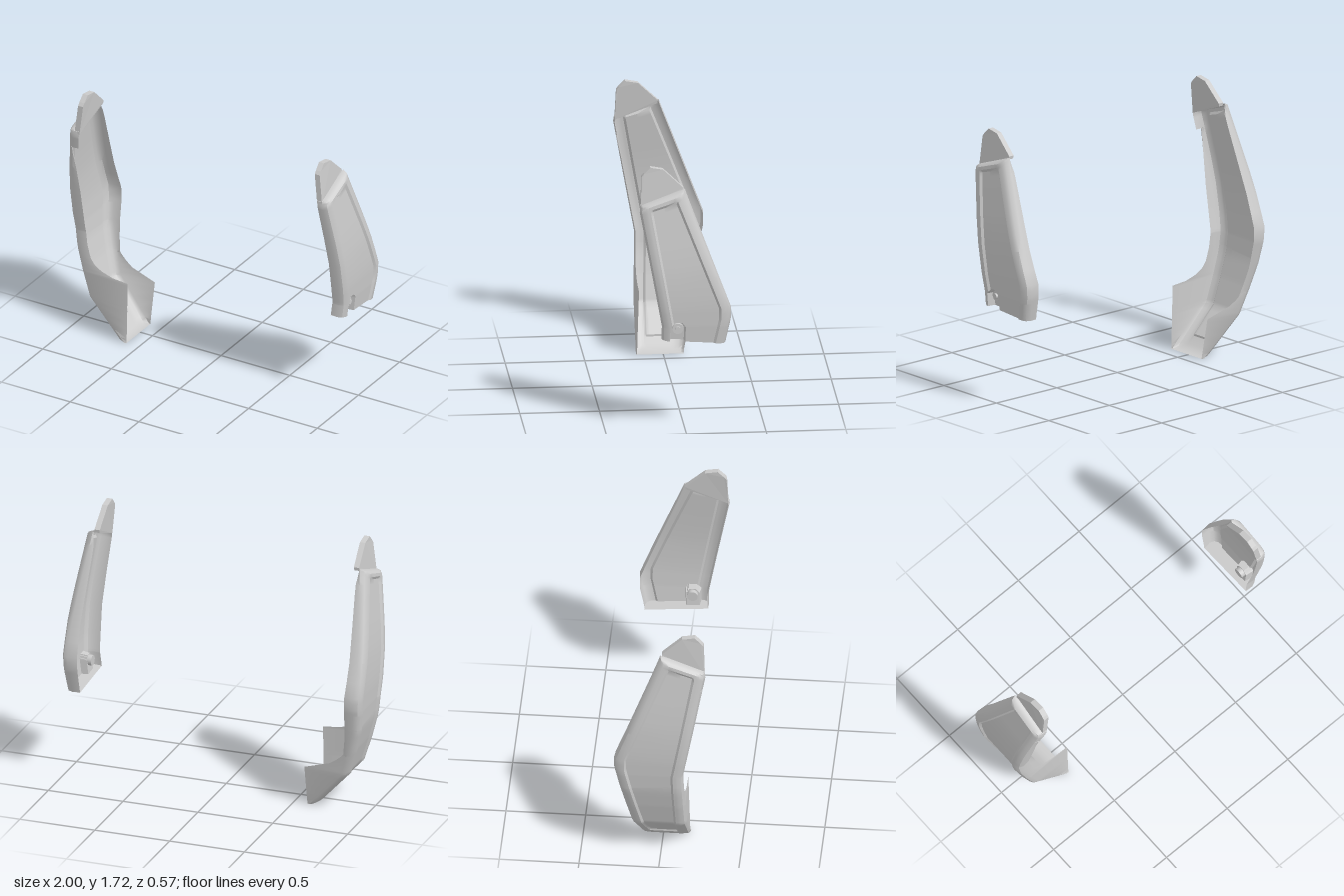
import * as THREE from 'three';
import { toCreasedNormals } from 'three/addons/utils/BufferGeometryUtils.js';

const material = new THREE.MeshStandardMaterial({ color: 0xcccccc, side: THREE.DoubleSide });

// Piecewise linear curve through [input, output] pairs
const curve = (keys) => (v) => {
  if (v <= keys[0][0]) return keys[0][1];
  for (let i = 1; i < keys.length; i++) {
    const [a, p] = keys[i - 1], [b, q] = keys[i];
    if (v <= b) return p + (q - p) * (v - a) / (b - a);
  }
  return keys[keys.length - 1][1];
};

// Side outline, outer bulge and inner rims, all by height
const frontZ = curve([[0, 0.17], [0.6, 0.152], [0.7, 0.15], [1.44, 0.285], [1.48, 0.28]]);
const backZ = curve([[0, -0.13], [0.58, -0.25], [0.74, -0.283], [0.82, -0.283], [1.55, -0.01], [1.58, 0]]);
const backY = curve([[0, 0], [0.27, 0.27], [0.61, 0.58], [1.48, 1.58]]);
const outerX = curve([[0, 0.65], [0.25, 0.88], [0.42, 0.935], [0.58, 0.978], [0.7, 0.992], [0.82, 1],
  [1, 1], [1.15, 0.988], [1.3, 0.97], [1.58, 0.935]]);
const rimLow = [[0.415, 0.59], [0.425, 0.7], [0.45, 0.78], [0.48, 0.83], [0.52, 0.86], [0.6, 0.885],
  [0.72, 0.9], [1, 0.905]];
const frontRim = curve([...rimLow, [1.2, 0.89], [1.48, 0.865]]);
const frontRimStepped = curve([...rimLow, [1.35, 0.925], [1.351, 0.882], [1.48, 0.865]]);
const backRim = curve([[0.27, 0.59], [0.33, 0.78], [0.4, 0.86], [0.5, 0.875], [0.6, 0.885], [1, 0.9],
  [1.2, 0.89], [1.48, 0.875], [1.58, 0.89]]);

// Rounded edge depth by distance from the outline, then the shallow inset
const edgeDepth = curve([[0, 0.045], [0.012, 0.016], [0.035, 0.003], [0.064, 0]]);
const insetBlend = curve([[0.064, 0], [0.078, 1]]);
const insetRows = curve([[0.075, 0], [0.088, 1], [1.425, 1], [1.44, 0]]);
const endDrop = curve([[0, 0.03], [0.012, 0.01], [0.03, 0], [1.46, 0], [1.472, 0.012], [1.48, 0.035]]);

const clip = { y: 0.68, z: 0.05, radius: 0.045 };

// Open shell lofted from cross-sections running from front rim to back rim
function shellGeometry(side, bottom, rim, hasClip) {
  let heights = [0, 0.012, 0.03, 0.075, 0.088, 0.15, 0.22, 0.25, 0.27, 0.3, 0.33, 0.365, 0.4, 0.415,
    0.425, 0.45, 0.48, 0.52, 0.56];
  for (let i = 0; i < 18; i++) heights.push(0.61 + i * 0.007);
  heights.push(0.75, 0.785, 0.82, 0.9, 1, 1.08, 1.15, 1.2, 1.3, 1.35, 1.351, 1.4, 1.425, 1.44, 1.46, 1.472, 1.48);
  heights = heights.filter((y) => y >= bottom);
  const fromFront = [0, 0.012, 0.035];
  for (let i = 0; i < 16; i++) fromFront.push(0.05 + i * 0.007);
  const fromBack = [0.078, 0.064, 0.035, 0.012, 0];
  const positions = [], index = [];
  let rows = 0, columns = 0;

  const addRow = (yf, cap) => {
    const yb = backY(yf), zf = frontZ(yf), zb = backZ(yb);
    const rimF = rim(yf), rimB = backRim(yb);
    const points = [];
    const add = (z, d) => {
      const t = (zf - z) / (zf - zb), y = yf + (yb - yf) * t;
      const rimX = rimF + (rimB - rimF) * t;
      let depth = Math.max(edgeDepth(d) + 0.012 * insetBlend(d) * insetRows(yf), endDrop(yf));
      // Slot with a round top, open at the lower edge
      if (hasClip && Math.hypot(z - clip.z, Math.max(0, y - clip.y)) < clip.radius) depth = 0.055;
      points.push([cap ? rimX : Math.max(rimX, outerX(y) - depth), y, z]);
    };
    points.push([rimF, yf, zf - 0.006]);
    fromFront.forEach((d) => add(zf - d, d));
    fromBack.forEach((d) => add(zb + d, d));
    points.push([rimB, yb, zb + 0.006]);
    points.forEach(([x, y, z]) => positions.push(side * x, y, z));
    columns = points.length;
    rows++;
  };

  addRow(heights[0], true);
  heights.forEach((y) => addRow(y, false));
  addRow(heights[heights.length - 1], true);

  for (let r = 0; r < rows - 1; r++) {
    for (let c = 0; c < columns - 1; c++) {
      const a = r * columns + c, b = a + 1, d = a + columns, e = d + 1;
      if (side > 0) index.push(a, b, e, a, e, d);
      else index.push(a, e, b, a, d, e);
    }
  }
  const geometry = new THREE.BufferGeometry();
  geometry.setAttribute('position', new THREE.Float32BufferAttribute(positions, 3));
  geometry.setIndex(index);
  return toCreasedNormals(geometry, 0.65);
}

// Flat tongue rising from the top edge, leaning inward
function tabGeometry(side) {
  const shape = new THREE.Shape([[0.278, 1.46], [0.27, 1.66], [0.255, 1.68], [0.215, 1.72], [0.135, 1.705],
    [0.01, 1.585], [0.012, 1.565]].map(([z, y]) => new THREE.Vector2(z, y)));
  const geometry = new THREE.ExtrudeGeometry(shape, { depth: 0.036, bevelEnabled: false });
  const lean = curve([[1.46, 0.866], [1.5, 0.863], [1.6, 0.846], [1.72, 0.842]]);
  const p = geometry.attributes.position;
  for (let i = 0; i < p.count; i++) {
    const z = p.getX(i), y = p.getY(i);
    p.setXYZ(i, side * (lean(y) + p.getZ(i)), y, z);
  }
  geometry.computeVertexNormals();
  return geometry;
}

function named(name, geometry) {
  const mesh = new THREE.Mesh(geometry, material);
  mesh.name = name;
  return mesh;
}

function panel(name, side, bottom, rim, hasClip) {
  const group = new THREE.Group();
  group.name = name;
  group.add(named('shell', shellGeometry(side, bottom, rim, hasClip)), named('topTab', tabGeometry(side)));
  return group;
}

export function createModel() {
  const model = new THREE.Group();
  model.name = 'sidePanels';
  const left = panel('leftPanel', 1, 0.61, frontRim, true);
  const right = panel('rightPanel', -1, 0, frontRimStepped, false);

  // Fastener in the slot: inner boss, washer, stud
  [['fastenerBoss', 0.034, 0.91, 0.937], ['fastenerWasher', 0.034, 0.93, 0.958],
    ['fastenerStud', 0.017, 0.95, 0.972]].forEach(([name, radius, from, to]) => {
    const mesh = named(name, new THREE.CylinderGeometry(radius, radius, to - from, 24));
    mesh.rotation.z = -Math.PI / 2;
    mesh.position.set((from + to) / 2, clip.y, clip.z);
    left.add(mesh);
  });

  model.add(left, right);
  return model;
}
